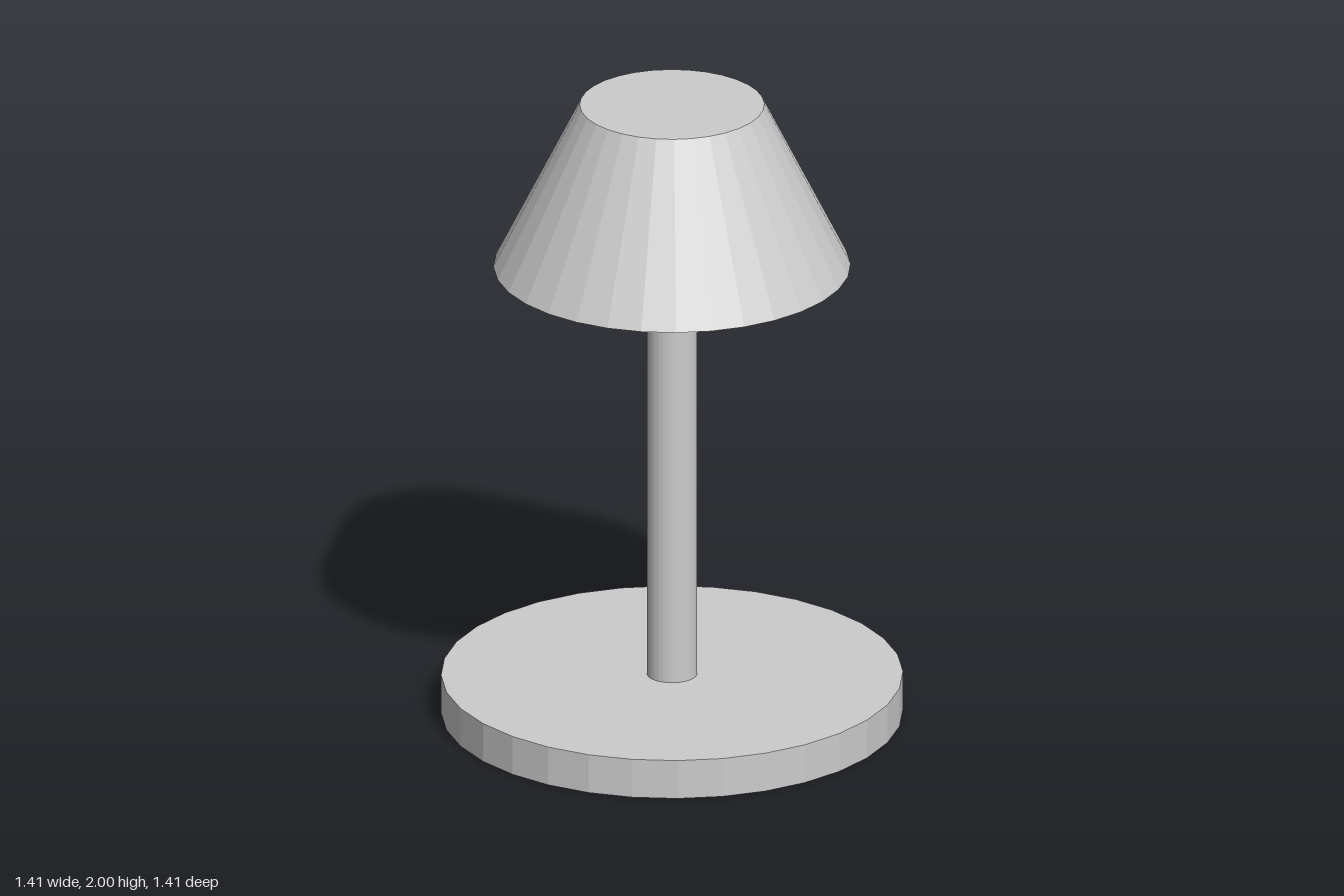
import * as THREE from 'three';

const SIDES = 32;

export function createModel() {
  const lamp = new THREE.Group();
  lamp.name = 'tableLamp';
  const grey = new THREE.MeshStandardMaterial({ color: 0xcccccc, flatShading: true });
  grey.name = 'light grey';

  // Closed round part standing between two heights
  const addRound = (name, topRadius, bottomRadius, y0, y1) => {
    const geometry = new THREE.CylinderGeometry(topRadius, bottomRadius, y1 - y0, SIDES);
    const mesh = new THREE.Mesh(geometry, grey);
    mesh.name = name;
    mesh.position.y = (y0 + y1) / 2;
    lamp.add(mesh);
  };

  addRound('base', 0.705, 0.705, 0, 0.125);
  addRound('stem', 0.077, 0.077, 0.125, 1.47);
  addRound('shade', 0.282, 0.545, 1.47, 2);

  return lamp;
}
